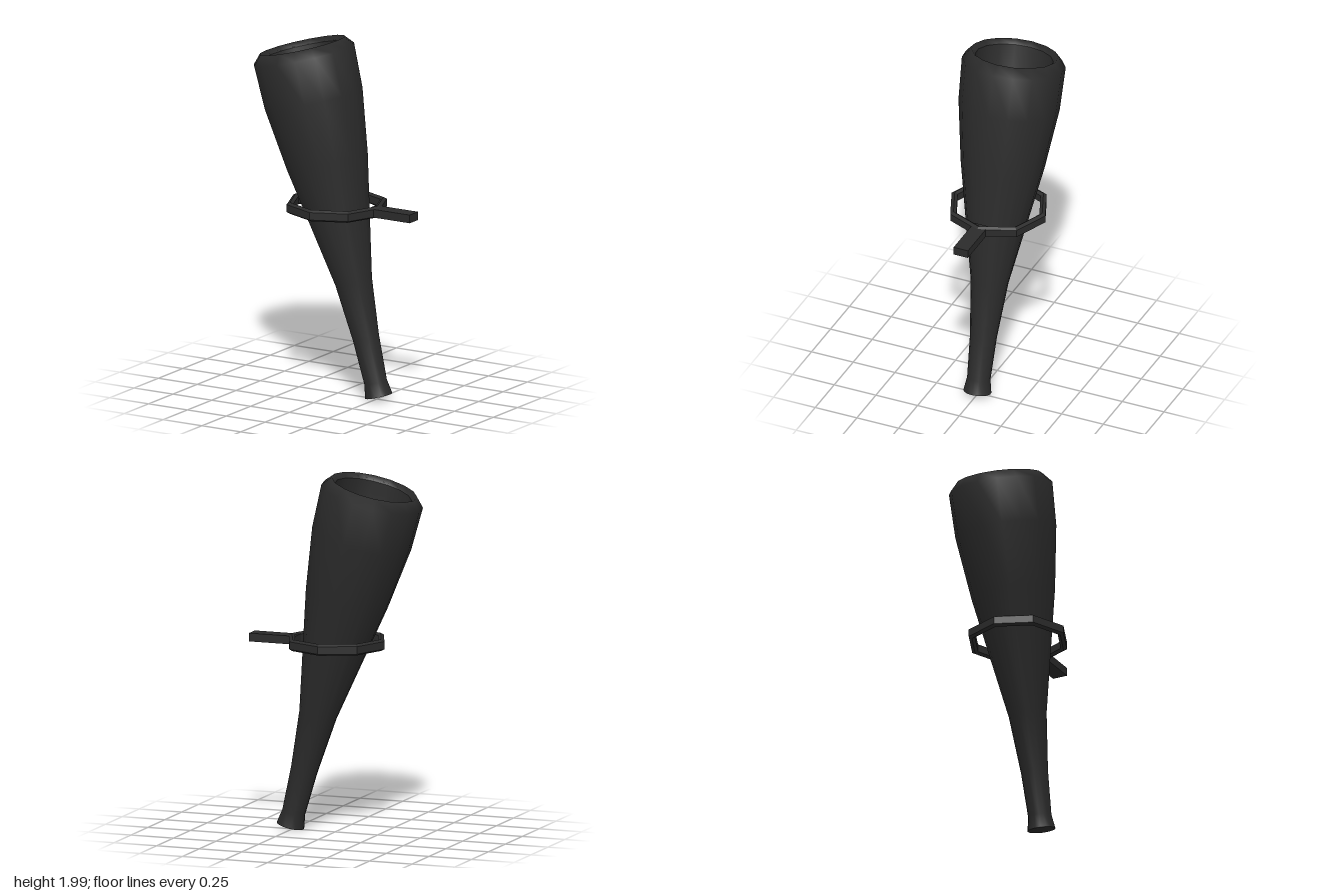
import * as THREE from 'three';

const COLOR = 0x2b2b2b;
const smooth = new THREE.MeshStandardMaterial({ color: COLOR });
const flat = new THREE.MeshStandardMaterial({ color: COLOR, flatShading: true });

function lathe(points, sides) {
  return new THREE.LatheGeometry(points.map(([r, y]) => new THREE.Vector2(r, y)), sides);
}

function add(parent, name, geometry, material) {
  const mesh = new THREE.Mesh(geometry, material);
  mesh.name = name;
  parent.add(mesh);
  return mesh;
}

export function createModel() {
  const model = new THREE.Group();
  model.name = 'wallTorch';

  // Leaning torch body, built upright along its own axis
  const torch = new THREE.Group();
  torch.name = 'torch';
  torch.position.set(0.262, 0.03, 0);
  torch.rotation.z = 0.2527;
  model.add(torch);

  // Flared shell: outside upwards, over the rim
  add(torch, 'shell', lathe([
    [0.077, 0], [0.064, 0.078], [0.074, 0.325], [0.104, 0.645],
    [0.230, 1.325], [0.278, 1.675], [0.285, 1.92], [0.239, 1.972],
    [0.215, 1.945],
  ], 16), smooth);

  // Hollow inside of the cup, narrowing downwards
  add(torch, 'cupInside', lathe([
    [0.215, 1.945], [0.205, 1.7], [0.165, 1.42], [0.1, 1.25], [0, 1.2],
  ], 16), smooth);

  // Closed foot
  const foot = add(torch, 'footCap', new THREE.CircleGeometry(0.077, 16), smooth);
  foot.rotation.x = Math.PI / 2;

  // Level eight-sided holding ring with bevelled edges
  const bracket = new THREE.Group();
  bracket.name = 'bracket';
  bracket.position.set(-0.01, 1.066, -0.003);
  model.add(bracket);
  add(bracket, 'holdingRing', lathe([
    [0.281, -0.021], [0.281, 0.021], [0.262, 0.032], [0.245, 0.021],
    [0.245, -0.021], [0.262, -0.032], [0.281, -0.021],
  ], 8), flat);

  // Bar that carries the ring
  const bar = add(bracket, 'mountingBar', new THREE.BoxGeometry(0.27, 0.046, 0.086), flat);
  bar.position.x = 0.362;

  return model;
}
